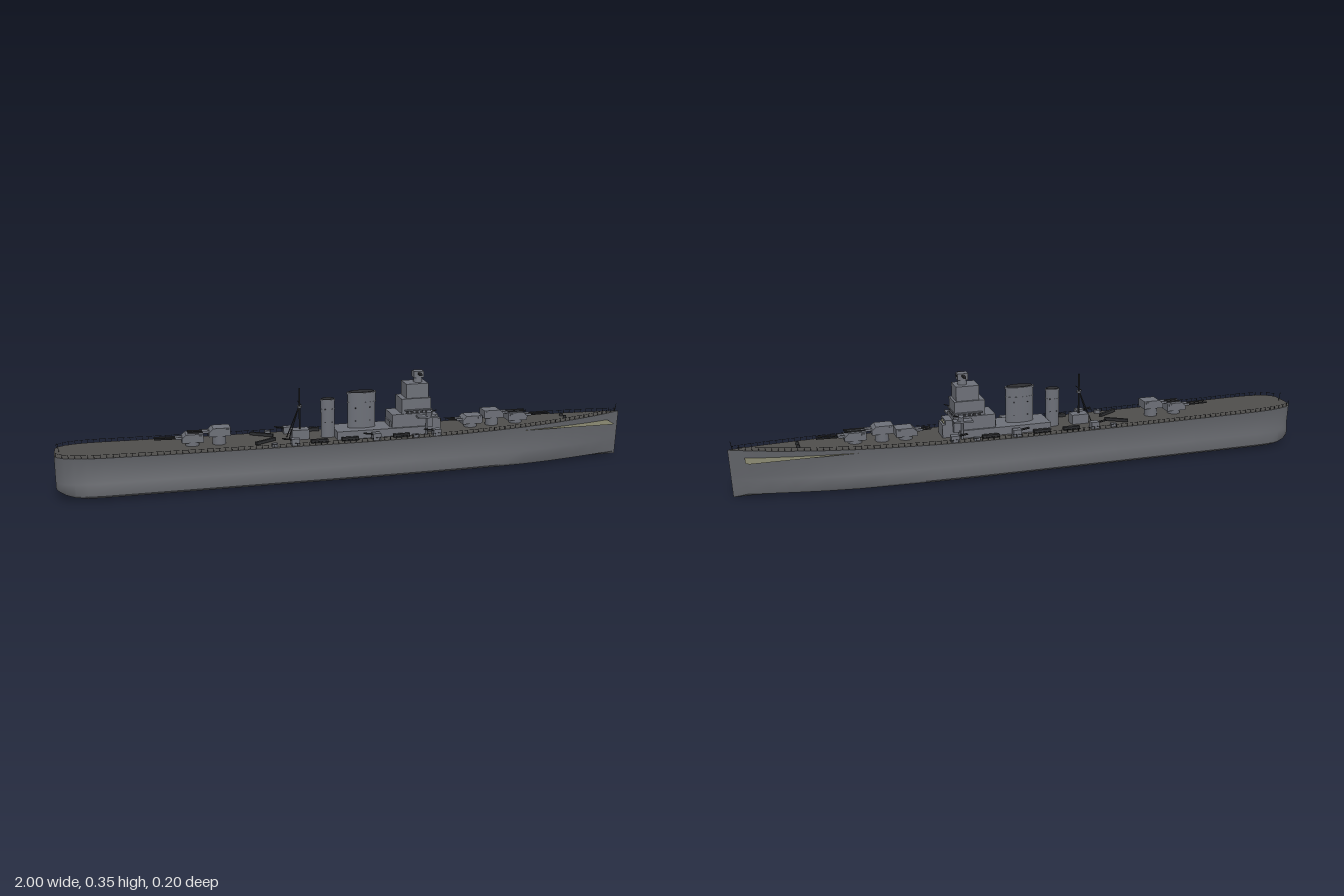
import * as THREE from 'three';
import { mergeGeometries, toCreasedNormals } from 'three/addons/utils/BufferGeometryUtils.js';

const mat = (name, color, side = THREE.FrontSide) => {
  const m = new THREE.MeshStandardMaterial({ color, side });
  m.name = name;
  return m;
};

// Half width of the deck at stations along the hull, stern to bow
const STATIONS = [[-1, .045], [-.99, .062], [-.97, .078], [-.94, .088], [-.9, .095], [-.85, .098], [-.6, .098],
  [-.3, .098], [0, .098], [.2, .096], [.35, .092], [.5, .085], [.6, .078], [.7, .066], [.8, .05], [.88, .034], [.95, .016], [1, .0008]];
const deckY = x => x < 0 ? .138 + .008 * x * x : .138 + .024 * x * x;
function halfWidth(x) {
  const i = Math.max(1, STATIONS.findIndex(s => s[0] >= x));
  const [a, b] = [STATIONS[i - 1], STATIONS[i]];
  return a[1] + (b[1] - a[1]) * (x - a[0]) / (b[0] - a[0]);
}

function surface(pos, idx) {
  const g = new THREE.BufferGeometry();
  g.setAttribute('position', new THREE.Float32BufferAttribute(pos, 3));
  g.setIndex(idx);
  g.computeVertexNormals();
  return g;
}

// Hull skin lofted from sections with a side bulge and shallow V bottom
function hullGeometry() {
  const pos = [], idx = [], N = 11;
  STATIONS.forEach(([x, w], i) => {
    const fine = x > .6 ? 1 - .35 * ((x - .6) / .4) ** 2 : 1;
    const lift = x < -.9 ? .025 * ((-.9 - x) / .1) ** 2 : 0;
    const half = [[w, deckY(x)], [w * .925 * fine, .072], [w * fine, .058], [w * .99 * fine, .016 + lift],
      [w * .93 * fine, .009 + lift], [0, lift]];
    const ring = [...half, ...half.slice(0, 5).reverse().map(([z, y]) => [-z, y])];
    ring.forEach(([z, y]) => pos.push(x > .99 ? x - .006 * (1 - y / .162) : x, y, z));
    if (i) for (let j = 0; j < N - 1; j++) {
      const a = (i - 1) * N + j, b = a + N;
      idx.push(a, a + 1, b, b, a + 1, b + 1);
    }
  });
  for (let j = 1; j < N - 1; j++) idx.push(0, j + 1, j);
  return toCreasedNormals(surface(pos, idx), .6);
}

function deckGeometry() {
  const pos = [], idx = [];
  STATIONS.forEach(([x, w], i) => {
    pos.push(x, deckY(x), w, x, deckY(x), -w);
    if (i) { const a = 2 * i - 2; idx.push(a, a + 2, a + 1, a + 2, a + 3, a + 1); }
  });
  return surface(pos, idx);
}

export function createModel() {
  const ship = new THREE.Group();
  ship.name = 'warship';
  const hullGrey = mat('hull grey', 0x606267), upper = mat('superstructure grey', 0x6c6f77),
    deckGrey = mat('deck grey', 0x4e4d4b), dark = mat('dark metal', 0x2b2c2f),
    tan = mat('olive tan', 0x7d7c66, THREE.DoubleSide);

  const add = (name, geo, m, x = 0, y = 0, z = 0, parent = ship) => {
    const mesh = new THREE.Mesh(geo, m);
    mesh.name = name;
    mesh.position.set(x, y, z);
    parent.add(mesh);
    return mesh;
  };
  // Box given by its x range, y range and half depth or z centre
  const block = (name, x0, x1, y0, y1, hz, m = upper, z = 0, parent = ship) =>
    add(name, new THREE.BoxGeometry(x1 - x0, y1 - y0, hz * 2), m, (x0 + x1) / 2, (y0 + y1) / 2, z, parent);
  const rod = (name, a, b, r, m, parent = ship) =>
    add(name, new THREE.TubeGeometry(new THREE.LineCurve3(new THREE.Vector3(...a), new THREE.Vector3(...b)), 1, r, 6), m, 0, 0, 0, parent);

  add('hull', hullGeometry(), hullGrey);
  add('deck', deckGeometry(), deckGrey);

  // Flat lower deck sheet that shows beside the narrow bow
  const sheet = new THREE.Shape();
  sheet.moveTo(.3, -.078);
  sheet.lineTo(.93, -.078);
  sheet.quadraticCurveTo(.95, -.078, .95, -.058);
  sheet.lineTo(.95, .058);
  sheet.quadraticCurveTo(.95, .078, .93, .078);
  sheet.lineTo(.3, .078);
  add('lowerDeckSheet', new THREE.ShapeGeometry(sheet).rotateX(-Math.PI / 2), tan, 0, .134, 0);

  // Guard rails with stanchions
  const posts = [];
  for (const s of [1, -1]) {
    const pts = [];
    for (let x = -.995; x < .995; x += .02) {
      const y = deckY(x), z = s * Math.max(.001, halfWidth(x) - .002);
      posts.push(new THREE.BoxGeometry(.0015, .012, .0015).translate(x, y + .006, z));
      pts.push(new THREE.Vector3(x, y + .011, z));
    }
    add('guardRail', new THREE.TubeGeometry(new THREE.CatmullRomCurve3(pts), 120, .0006, 4), dark);
  }
  add('railPosts', mergeGeometries(posts), dark);

  // Twin gun turrets; dir is the way the barrels point along x
  function turret(x, y, dir, barrel) {
    const g = new THREE.Group();
    g.name = 'mainTurret';
    const s = new THREE.Shape();
    s.moveTo(-.036, 0); s.lineTo(.036, 0); s.lineTo(.036, .014); s.lineTo(.022, .028); s.lineTo(-.036, .028);
    add('turretHouse', new THREE.ExtrudeGeometry(s, { depth: .052, bevelEnabled: false }), upper, 0, 0, -.026, g);
    const h = y - deckY(x) + .004;
    add('barbette', new THREE.CylinderGeometry(.023, .023, h, 20), upper, 0, -h / 2 + .002, 0, g);
    for (const z of [-.011, .011]) {
      rod('gunBarrel', [.03, .014, z], [.036 + barrel, .016, z], .003, dark, g);
      rod('gunSleeve', [.03, .014, z], [.055, .0145, z], .0045, upper, g);
    }
    block('turretRangefinder', -.03, -.02, .018, .024, .03, upper, 0, g);
    g.position.set(x, y, 0);
    if (dir < 0) g.rotation.y = Math.PI;
    ship.add(g);
  }
  turret(.425, .156, -1, .05);
  turret(.505, .172, 1, .09);
  turret(.595, .158, 1, .09);
  turret(-.465, .17, -1, .07);
  turret(-.555, .154, -1, .09);

  // Deckhouses and stepped bridge tower
  block('longDeckhouse', -.07, .25, .13, .166, .052);
  block('forwardDeckhouse', .12, .305, .13, .185, .03);
  block('bridgeBase', .125, .27, .16, .212, .045);
  block('bridgeMiddle', .16, .265, .21, .264, .04);
  block('bridgeUpper', .178, .257, .264, .314, .033);
  block('bridgeWing', .17, .268, .222, .226, .05);
  block('frontHouse', .265, .295, .16, .2, .03);
  block('aftHouse', -.22, -.16, .13, .172, .02);
  for (let k = -3; k <= 3; k++) block('bridgeWindow', .265, .268, .205, .213, .004, dark, k * .0098);
  for (let k = 0; k < 5; k++) for (const s of [1, -1])
    block('sideWindow', .175 + k * .017, .186 + k * .017, .212, .219, .001, dark, s * .04);
  for (const s of [1, -1])
    add('lamp', new THREE.SphereGeometry(.005, 10, 8), tan, .296, .19, s * .01);

  // Fire director with long rangefinder arms
  add('directorNeck', new THREE.CylinderGeometry(.014, .016, .02, 20), upper, .228, .322, 0);
  block('director', .21, .246, .331, .353, .015);
  block('rangefinderArm', .224, .232, .342, .349, .039, dark);
  for (const z of [-.007, 0, .007]) block('directorPort', .2455, .248, .342, .347, .002, dark, z);

  // Oval funnels with dark mouths and bands
  function funnel(name, x, top, rx, rz) {
    const oval = (n, r, h, m, y) => add(n, new THREE.CylinderGeometry(r, r, h, 32), m, x, y, 0).scale.set(rx, 1, rz);
    oval(name, 1, top - .13, upper, (top + .13) / 2);
    oval('funnelCap', 1.06, .006, upper, top - .003);
    oval('funnelMouth', .92, .004, dark, top);
    oval('funnelBand', 1.04, .003, upper, top - .035);
    for (const y of [.19, .235]) for (const s of [1, -1]) for (const k of [-.5, .5])
      block('funnelVent', x + k * rx - .002, x + k * rx + .002, y, y + .004, .0012, dark, s * rz * .87);
  }
  funnel('mainFunnel', .027, .29, .049, .021);
  funnel('smallFunnel', -.092, .271, .024, .017);

  // Tripod mast
  rod('mastPole', [-.19, .14, 0], [-.19, .315, 0], .003, dark);
  for (const s of [1, -1]) rod('mastLeg', [-.232, .14, s * .02], [-.192, .25, 0], .0018, dark);
  rod('mastYard', [-.19, .262, -.03], [-.19, .262, .03], .0015, dark);
  add('mastTop', new THREE.CylinderGeometry(.009, .007, .006, 14), upper, -.19, .25, 0);

  // Side fittings, mirrored
  for (const s of [1, -1]) {
    const catapult = block('catapult', -.042, .042, -.005, .005, .005, dark);
    catapult.position.set(-.315, .149, s * .043);
    catapult.rotation.y = s * .55;
    for (const x of [-.22, .06, .275]) {
      block('sideGunHouse', x - .014, x + .014, .136, .162, .012, upper, s * .077);
      for (const d of [-.005, .005]) rod('sideGunBarrel', [x, .156, s * .077 + d], [x - .045, .163, s * .077 + d], .0016, dark);
    }
    for (const x of [-.137, -.03, .15])
      block('torpedoTubes', x - .029, x + .029, .141, .152, .007, dark, s * .074);
    for (const x of [-.29, .2]) block('deckLocker', x - .01, x + .01, .136, .15, .007, upper, s * .08);
    // Raised light gun on a bridge platform
    block('gunPlatform', .21, .275, .2, .206, .016, upper, s * .058);
    add('gunPlatformPost', new THREE.CylinderGeometry(.004, .004, .065, 10), upper, .245, .168, s * .06);
    add('lightGunMount', new THREE.CylinderGeometry(.009, .01, .018, 14), upper, .25, .214, s * .064).rotation.x = s * .3;
    rod('lightGunBarrel', [.25, .218, s * .064], [.276, .227, s * .069], .002, dark);
  }

  // Bow and stern fittings
  for (const s of [1, -1]) add('capstan', new THREE.CylinderGeometry(.005, .006, .01, 12), dark, .78, deckY(.78) + .005, s * .016);
  rod('bowStaff', [.985, deckY(.985), 0], [.99, .19, 0], .001, dark);
  rod('sternStaff', [-.985, deckY(-.985), 0], [-.99, .175, 0], .001, dark);
  return ship;
}
